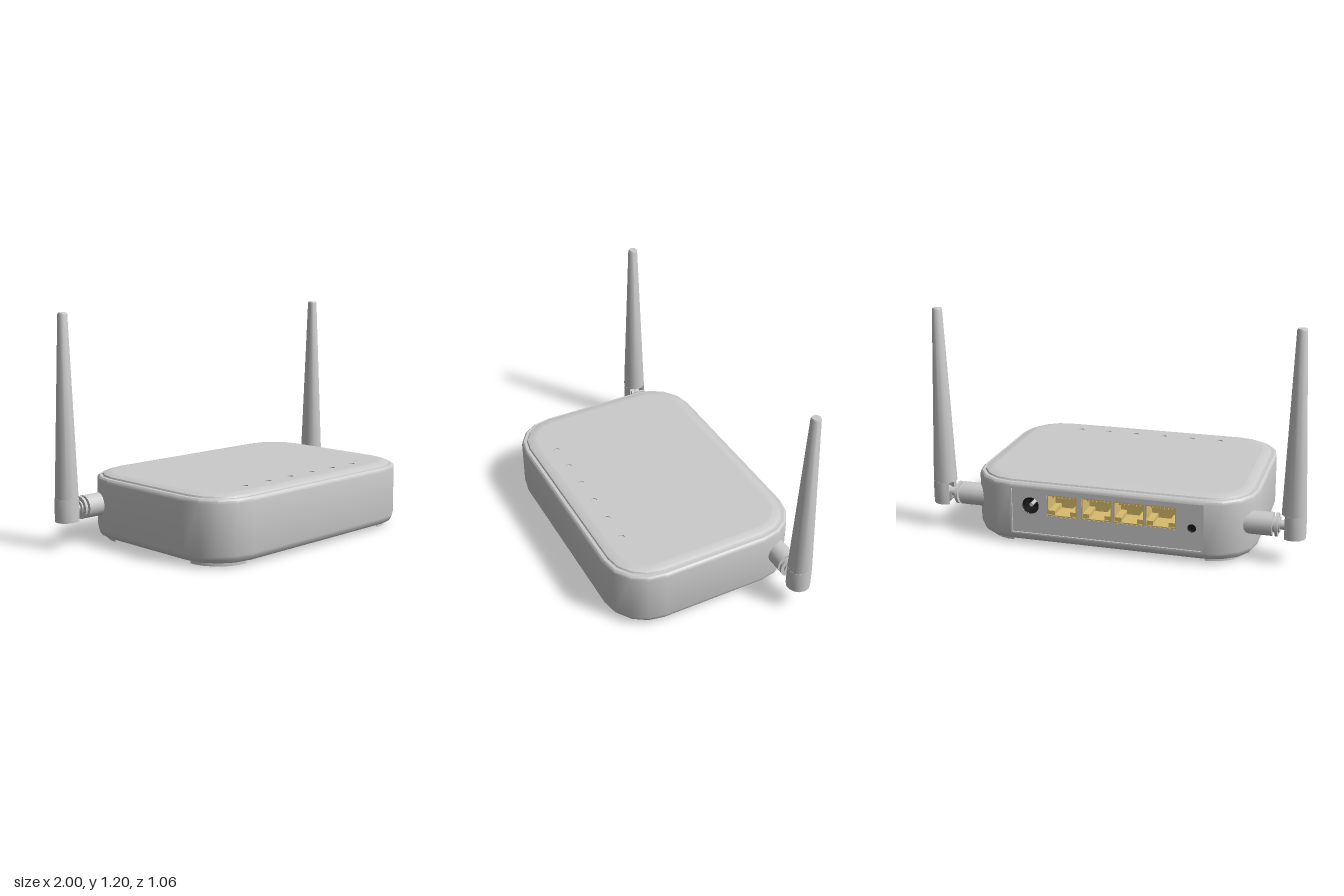
import * as THREE from 'three';
import { toCreasedNormals } from 'three/addons/utils/BufferGeometryUtils.js';

const material = (color) => new THREE.MeshStandardMaterial({ color, side: THREE.DoubleSide });
const grey = material(0xcccccc);
const gold = material(0xd9bd6c);
const black = material(0x141414);

function add(parent, name, geometry, mat = grey, x = 0, y = 0, z = 0) {
  const mesh = new THREE.Mesh(geometry, mat);
  mesh.name = name;
  mesh.position.set(x, y, z);
  parent.add(mesh);
  return mesh;
}

// Rounded-rectangle outline of the case in x/z, shrunk by an inset
const SEG = 4;
function outline(inset) {
  const pts = [];
  [[1, 1], [-1, 1], [-1, -1], [1, -1]].forEach(([sx, sz], k) => {
    for (let j = 0; j <= SEG; j++) {
      const a = (k + j / SEG) * Math.PI / 2;
      const r = 0.24 - inset;
      pts.push(new THREE.Vector2(sx * 0.51 + r * Math.cos(a), sz * 0.29 + r * Math.sin(a)));
    }
  });
  return pts;
}

// Skin through stacked outlines [inset, y]; openLevel leaves out the flat back quad there
function loft(levels, openLevel = -1, closeBottom = false) {
  const n = 4 * (SEG + 1);
  const backQuad = 3 * (SEG + 1) - 1;
  const pos = [], idx = [];
  levels.forEach(([inset, y]) => outline(inset).forEach((p) => pos.push(p.x, y, p.y)));
  for (let l = 0; l < levels.length - 1; l++) {
    for (let i = 0; i < n; i++) {
      if (l === openLevel && i === backQuad) continue;
      const a = l * n + i, b = l * n + (i + 1) % n;
      idx.push(a, a + n, b, b, a + n, b + n);
    }
  }
  if (closeBottom) for (let i = 1; i < n - 1; i++) idx.push(0, i, i + 1);
  const g = new THREE.BufferGeometry();
  g.setAttribute('position', new THREE.Float32BufferAttribute(pos, 3));
  g.setIndex(idx);
  return toCreasedNormals(g, 0.65);
}

const extrude = (shape, depth) =>
  new THREE.ExtrudeGeometry(shape, { depth, bevelEnabled: false, curveSegments: 16 });
// Extrusion lying flat: shape y becomes z, depth goes downward
const extrudeDown = (shape, depth) => toCreasedNormals(extrude(shape, depth).rotateX(Math.PI / 2), 0.65);

function rect(Type, x, y, w, h) {
  return new Type([[-1, -1], [1, -1], [1, 1], [-1, 1]]
    .map(([u, v]) => new THREE.Vector2(x + u * w / 2, y + v * h / 2)));
}
const disc = (x, y, r) => new THREE.Path().absarc(x, y, r, 0, Math.PI * 2, true);

function buildCase(root) {
  add(root, 'caseShell', loft([
    [0.05, 0.015], [0.02, 0.024], [0.005, 0.042], [0, 0.06],
    [0, 0.315], [0.003, 0.329], [0.012, 0.337], [0.045, 0.337],
  ], 3, true));
  add(root, 'lidEdge', loft([[0.028, 0.336], [0.033, 0.345], [0.05, 0.352], [0.08, 0.355]]));

  // Lid plate with a row of shallow indicator holes
  const lid = new THREE.Shape(outline(0.08));
  for (let i = 0; i < 6; i++) {
    const x = (i - 2.5) * 0.165;
    lid.holes.push(disc(x, 0.375, 0.017));
    add(root, 'indicatorLight', new THREE.CylinderGeometry(0.018, 0.018, 0.004, 16), grey, x, 0.348, 0.375);
  }
  add(root, 'lidPlate', extrudeDown(lid, 0.008), grey, 0, 0.355, 0);

  // Corner feet following the curve of the case
  for (const sx of [-1, 1]) for (const sz of [-1, 1]) {
    const pts = [];
    for (let j = 0; j <= 8; j++) {
      const a = j / 8 * Math.PI / 2;
      pts.push(new THREE.Vector2(sx * (0.51 + 0.19 * Math.cos(a)), sz * (0.29 + 0.19 * Math.sin(a))));
    }
    add(root, 'foot', extrudeDown(new THREE.Shape(pts), 0.02), grey, 0, 0.02, 0);
  }
}

function buildBackPanel(root) {
  const panel = new THREE.Group();
  panel.name = 'backPanel';
  root.add(panel);

  // Rim around the slightly recessed panel
  const rim = rect(THREE.Shape, 0, 0.1875, 1.02, 0.255);
  rim.holes.push(rect(THREE.Path, 0, 0.1875, 1.0, 0.24));
  add(panel, 'panelRim', extrude(rim, 0.015), grey, 0, 0, -0.53);

  const plate = rect(THREE.Shape, 0, 0.1875, 1.01, 0.25);
  const y = 0.228, w = 0.16, h = 0.115;

  // Network sockets: sleeve, end wall, keyway corners and contact bars
  for (const x of [0.23, 0.045, -0.125, -0.29]) {
    plate.holes.push(rect(THREE.Path, x, y, w, h));
    const socket = new THREE.Group();
    socket.name = 'networkSocket';
    socket.position.set(x, y, -0.52);
    panel.add(socket);
    const sleeve = rect(THREE.Shape, 0, 0, w, h);
    sleeve.holes.push(rect(THREE.Path, 0, 0, w - 0.012, h - 0.012));
    add(socket, 'socketSleeve', extrude(sleeve, 0.12), gold);
    add(socket, 'socketEnd', new THREE.BoxGeometry(w, h, 0.01), gold, 0, 0, 0.12);
    for (const s of [-1, 1]) {
      add(socket, 'keywayCorner', new THREE.BoxGeometry(0.035, 0.025, 0.11), gold, s * 0.058, -0.041, 0.06);
    }
    for (let i = 0; i < 6; i++) {
      add(socket, 'contactBar', new THREE.BoxGeometry(0.009, 0.016, 0.1), gold, (i - 2.5) * 0.02, 0.044, 0.065);
    }
  }

  // Round openings: power jack and reset button
  const wells = [['powerJack', 0.4, 0.218, 0.045, 0.1], ['resetHole', -0.45, 0.185, 0.022, 0.03]];
  for (const [name, x, wy, r, depth] of wells) {
    plate.holes.push(disc(x, wy, r));
    const profile = [new THREE.Vector2(0, depth), new THREE.Vector2(r, depth), new THREE.Vector2(r, 0)];
    const well = toCreasedNormals(new THREE.LatheGeometry(profile, 20), 0.65);
    add(panel, name, well.rotateX(Math.PI / 2), black, x, wy, -0.522);
  }
  const pin = new THREE.CylinderGeometry(0.01, 0.01, 0.09, 10).rotateX(Math.PI / 2);
  add(panel, 'jackPin', pin, grey, 0.4, 0.218, -0.465);

  add(panel, 'panelPlate', extrude(plate, 0.01), grey, 0, 0, -0.522);
}

function buildAntenna(root, s) {
  const antenna = new THREE.Group();
  antenna.name = s > 0 ? 'leftAntenna' : 'rightAntenna';
  antenna.position.z = -0.38;
  root.add(antenna);

  // Sideways mount: barrel, collar and neck
  const rod = (name, r, x0, x1) => add(antenna, name,
    new THREE.CylinderGeometry(r, r, x1 - x0, 16).rotateZ(Math.PI / 2), grey, s * (x0 + x1) / 2, 0.195, 0);
  rod('mountBarrel', 0.06, 0.6, 0.835);
  rod('mountCollar', 0.06, 0.848, 0.862);
  rod('mountCore', 0.04, 0.82, 0.87);
  rod('mountNeck', 0.024, 0.83, 0.93);

  // Hinge knuckle inside the sleeve
  add(antenna, 'hingeKnuckle', new THREE.CylinderGeometry(0.043, 0.043, 0.05, 16).rotateX(Math.PI / 2),
    grey, s * 0.937, 0.177, 0);

  // Sleeve, open towards the case
  const outer = [], inner = [];
  for (let j = 0; j <= 10; j++) {
    const a = (j / 10 - 0.5) * 2 * THREE.MathUtils.degToRad(130);
    outer.push(new THREE.Vector2(s * 0.063 * Math.cos(a), 0.063 * Math.sin(a)));
    inner.unshift(new THREE.Vector2(s * 0.047 * Math.cos(a), 0.047 * Math.sin(a)));
  }
  add(antenna, 'antennaSleeve', extrudeDown(new THREE.Shape([...outer, ...inner]), 0.122),
    grey, s * 0.937, 0.26, 0);

  // Tapered blade
  const blade = [[0, 0.258], [0.063, 0.258], [0.026, 1.188], [0.022, 1.197], [0, 1.197]]
    .map(([r, y]) => new THREE.Vector2(r, y));
  add(antenna, 'antennaBlade', toCreasedNormals(new THREE.LatheGeometry(blade, 10), 0.7), grey, s * 0.937, 0, 0);
}

export function createModel() {
  const root = new THREE.Group();
  root.name = 'router';
  buildCase(root);
  buildBackPanel(root);
  buildAntenna(root, 1);
  buildAntenna(root, -1);
  return root;
}
